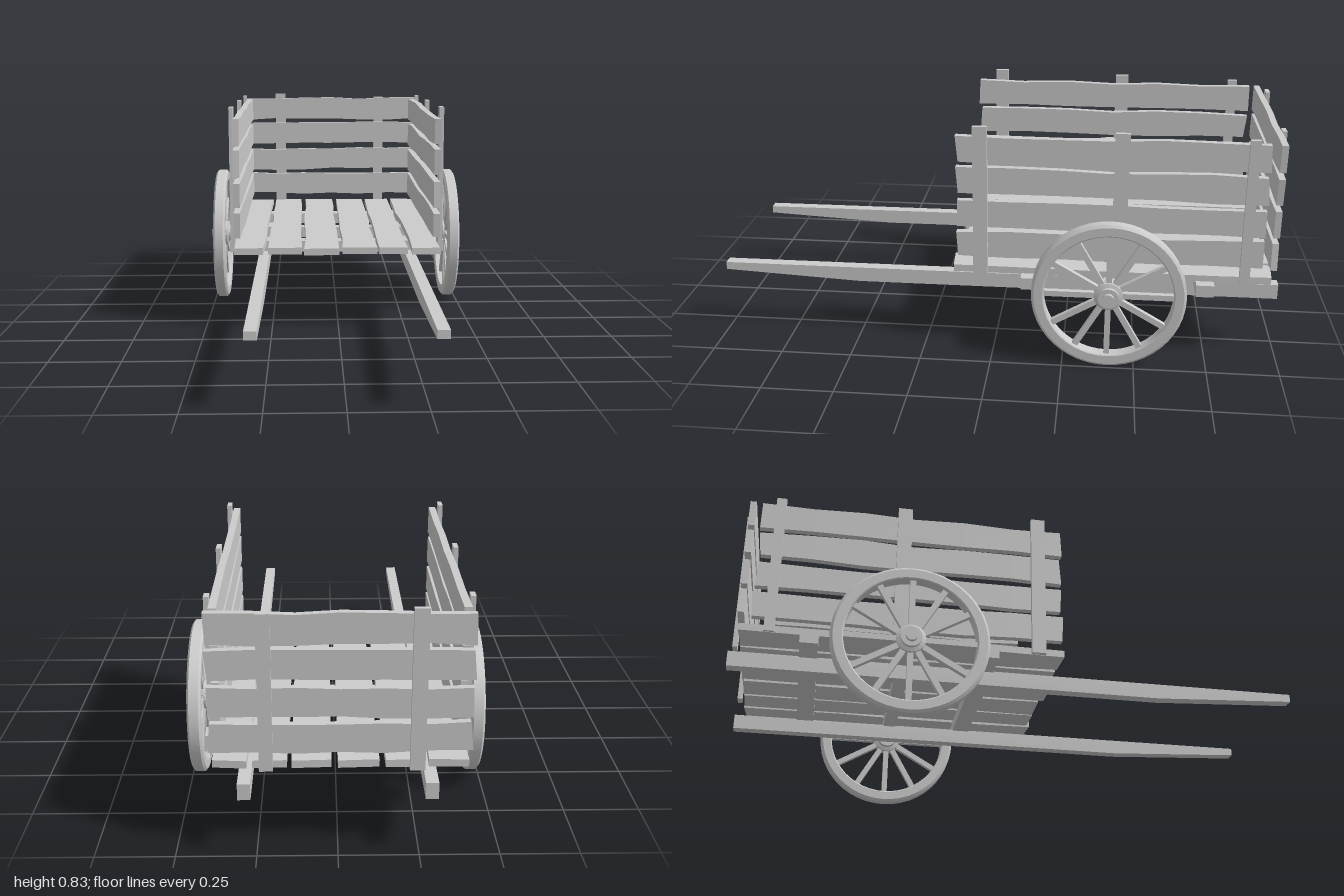
import * as THREE from 'three';

const material = new THREE.MeshStandardMaterial({ color: 0xcccccc, flatShading: true });
const smooth = new THREE.MeshStandardMaterial({ color: 0xcccccc, side: THREE.DoubleSide });

let seed = 7;
const random = () => {
  seed = (seed * 16807) % 2147483647;
  return seed / 2147483647 - 0.5;
};

function add(parent, name, geometry, x, y, z, mat = material) {
  const mesh = new THREE.Mesh(geometry, mat);
  mesh.name = name;
  mesh.position.set(x, y, z);
  parent.add(mesh);
  return mesh;
}

const box = (parent, name, w, h, d, x, y, z) => add(parent, name, new THREE.BoxGeometry(w, h, d), x, y, z);

// Rough plank along x: width in y and thickness in z, with uneven sawn edges
function plank(length, width, thickness, rough = 0.01) {
  const n = 6;
  const geo = new THREE.BoxGeometry(length, width, thickness, n, 1, 1);
  const p = geo.attributes.position;
  const top = [], bottom = [];
  for (let i = 0; i <= n; i++) {
    top.push(random() * rough);
    bottom.push(random() * rough);
  }
  const skew = [random() * rough, random() * rough];
  for (let i = 0; i < p.count; i++) {
    const k = Math.round((p.getX(i) / length + 0.5) * n);
    const up = p.getY(i) > 0;
    p.setY(i, p.getY(i) + (up ? top[k] : bottom[k]));
    if (k === 0 || k === n) p.setX(i, p.getX(i) + (up ? 1 : -1) * skew[k / n]);
  }
  geo.computeVertexNormals();
  return geo;
}

// Wheel around the x axis, with rim, twelve spokes and a stepped hub
function makeWheel(side) {
  const wheel = new THREE.Group();
  wheel.name = side > 0 ? 'leftWheel' : 'rightWheel';
  const turned = (name, points, segments) => {
    const geo = new THREE.LatheGeometry(points.map(([r, h]) => new THREE.Vector2(r, h)), segments);
    add(wheel, name, geo, 0, 0, 0, name === 'rim' ? smooth : material).rotation.z = -side * Math.PI / 2;
  };
  turned('rim', [
    [0.222, -0.02], [0.226, -0.023], [0.226, -0.023], [0.256, -0.023], [0.256, -0.023], [0.265, -0.016],
    [0.265, -0.016], [0.265, 0.016], [0.265, 0.016], [0.256, 0.023], [0.256, 0.023], [0.226, 0.023],
    [0.226, 0.023], [0.222, 0.02], [0.222, 0.02], [0.222, -0.02],
  ], 48);
  turned('hub', [
    [0, -0.04], [0.036, -0.04], [0.036, -0.022], [0.05, -0.018], [0.05, 0.018],
    [0.036, 0.022], [0.036, 0.034], [0.02, 0.034], [0.02, 0.046], [0, 0.046],
  ], 20);
  for (let i = 0; i < 12; i++) {
    const a = (i * Math.PI) / 6;
    const spoke = box(wheel, 'spoke', 0.02, 0.19, 0.02, 0, Math.cos(a) * 0.135, Math.sin(a) * 0.135);
    spoke.rotation.x = a;
  }
  wheel.position.set(side * 0.467, 0.267, -0.405);
  return wheel;
}

export function createModel() {
  const cart = new THREE.Group();
  cart.name = 'handCart';

  // Long shafts, tapering underneath towards the handles
  const outline = new THREE.Shape([
    [-1, 0.2], [0.5, 0.2], [1, 0.226], [1, 0.254], [-1, 0.254],
  ].map(([z, y]) => new THREE.Vector2(-z, y)));
  for (const side of [-1, 1]) {
    const geo = new THREE.ExtrudeGeometry(outline, { depth: 0.04, bevelEnabled: false });
    geo.translate(0, 0, -0.02).rotateY(Math.PI / 2);
    add(cart, 'shaft', geo, side * 0.284, 0, 0);
    cart.add(makeWheel(side));
  }

  // Axle and cross beams under the floor
  box(cart, 'axleBeam', 0.84, 0.043, 0.046, 0, 0.272, -0.41);
  const axle = add(cart, 'axle', new THREE.CylinderGeometry(0.018, 0.018, 1, 12), 0, 0.267, -0.405);
  axle.rotation.z = Math.PI / 2;
  for (const z of [-0.735, -0.13]) box(cart, 'crossBeam', 0.84, 0.043, 0.062, 0, 0.272, z);

  // Floor planks: left edge, right edge, front end
  const floor = [
    [-0.392, -0.277, 0.135], [-0.26, -0.14, 0.13], [-0.125, 0, 0.148],
    [0.018, 0.14, 0.132], [0.155, 0.257, 0.135], [0.275, 0.38, 0.145],
  ];
  for (const [x0, x1, front] of floor) {
    const geo = plank(front + 0.965, x1 - x0, 0.025).rotateX(-Math.PI / 2).rotateY(Math.PI / 2);
    add(cart, 'floorPlank', geo, (x0 + x1) / 2, 0.303, (front - 0.965) / 2);
  }

  // Slatted sides with outer posts, and slatted back
  const rows = [0.395, 0.51, 0.63, 0.743];
  const posts = [[0.045, 0.05, 0.83], [-0.435, 0.05, 0.82], [-0.868, 0.035, 0.81]];
  for (const side of [-1, 1]) {
    const x = side * 0.37 - 0.006;
    for (const y of rows) {
      const geo = plank(1.06 + random() * 0.015, 0.095, 0.024).rotateY(Math.PI / 2);
      add(cart, 'sideBoard', geo, x, y, -0.4);
    }
    for (const [z, width, top] of posts) {
      box(cart, 'sidePost', 0.016, top - 0.292, width, x + side * 0.02, (top + 0.292) / 2, z);
    }
  }
  for (const y of rows) add(cart, 'backBoard', plank(0.785, 0.095, 0.022), -0.007, y, -0.964);
  for (const [x, width, top] of [[-0.238, 0.046, 0.812], [0.216, 0.042, 0.797]]) {
    box(cart, 'backPost', width, top - 0.292, 0.016, x, (top + 0.292) / 2, -0.983);
  }
  return cart;
}
